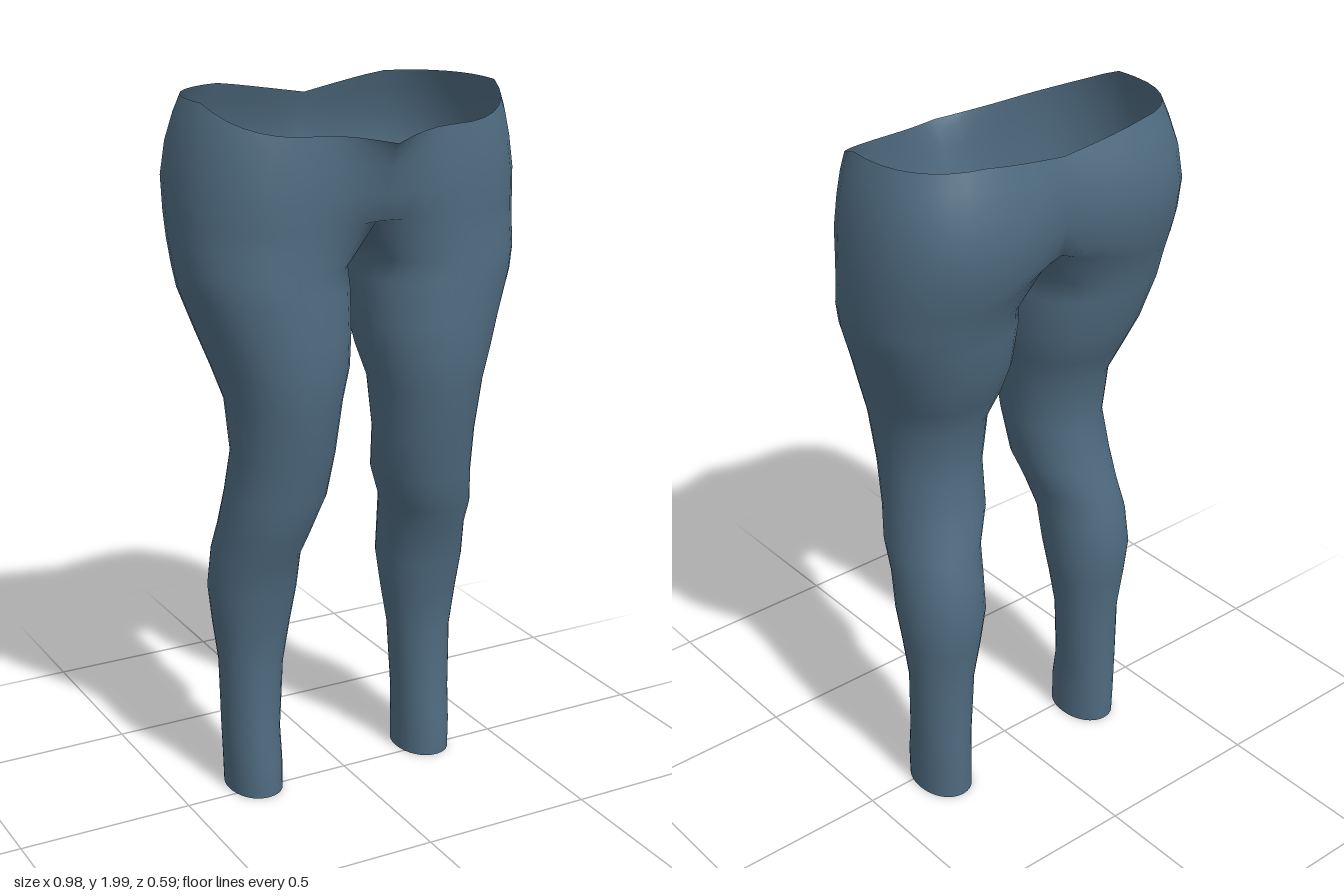
import * as THREE from 'three';
import { mergeVertices } from 'three/addons/utils/BufferGeometryUtils.js';

const N = 32;      // points round one leg
const OUTER = 24;  // steps from the front centre seam, round the hip, to the back seam

// Leg rings: [y, inner x, outer x, front z, back z]
const LEG = [
  [0.01, 0.2, 0.355, 0.065, -0.145], [0.1, 0.2, 0.357, 0.065, -0.147], [0.2, 0.2, 0.36, 0.05, -0.145],
  [0.4, 0.185, 0.365, 0.045, -0.145], [0.52, 0.165, 0.38, 0.062, -0.162], [0.63, 0.148, 0.392, 0.085, -0.175],
  [0.74, 0.145, 0.386, 0.11, -0.163], [0.82, 0.132, 0.378, 0.155, -0.14], [0.92, 0.092, 0.368, 0.175, -0.118],
  [1.05, 0.08, 0.36, 0.205, -0.09], [1.2, 0.064, 0.375, 0.232, -0.108], [1.29, 0.042, 0.4, 0.24, -0.15],
  [1.38, 0.03, 0.43, 0.24, -0.19], [1.5, 0.025, 0.472, 0.237, -0.218], [1.56, 0.03, 0.482, 0.235, -0.228],
];

// Hip rings: [y, lobe centre x, outer x, front z, back z, front seam z, back seam z]
const HIP = [
  [1.63, 0.23, 0.487, 0.234, -0.258, 0.175, -0.19],
  [1.7, 0.23, 0.488, 0.235, -0.28, 0.21, -0.23],
  [1.79, 0.23, 0.488, 0.237, -0.295, 0.235, -0.25],
  [1.88, 0.22, 0.475, 0.235, -0.286, 0.25, -0.252],
  [1.95, 0.21, 0.458, 0.232, -0.262, 0.272, -0.242],
  [2.0, 0.2, 0.44, 0.23, -0.245, 0.292, -0.23],
];

// Slightly squared ellipse
const bulge = (v, n) => Math.sign(v) * Math.pow(Math.abs(v), 2 / n);
const angle = (i) => THREE.MathUtils.degToRad(135 - (i * 360) / N);

function legRing([y, xi, xo, zf, zb]) {
  const n = y > 1.2 ? 2.25 : 2.1;
  return Array.from({ length: N }, (_, i) => {
    const a = angle(i);
    return [
      (xi + xo) / 2 + ((xo - xi) / 2) * bulge(Math.cos(a), n), y,
      (zf + zb) / 2 + ((zf - zb) / 2) * bulge(Math.sin(a), n),
    ];
  });
}

function hipRing([y, cx, xo, zf, zb, seamF, seamB], k) {
  const ring = [];
  for (let i = 0; i <= OUTER; i++) {
    const a = angle(i), s = Math.min(i, OUTER - i) / 4; // s: 0 at a seam, 1 at the lobe
    const front = i < OUTER / 2;
    let x, z;
    if (s < 1) {
      const seam = front ? seamF : seamB, lobe = front ? zf : zb;
      x = cx * s;
      z = seam + (lobe - seam) * Math.sin((s * Math.PI) / 2);
    } else {
      x = cx + (xo - cx) * bulge(Math.cos(a), 2.25);
      z = (zf + zb) / 2 + ((zf - zb) / 2) * bulge(Math.sin(a), 2.25);
    }
    // Waistline dips at the front and a little at the back seam
    const t = Math.max(0, (z - 0.06) / 0.23);
    const dip = front ? 0.1 * Math.pow(t, 0.9) : 0.04 * (1 - Math.min(1, x / 0.25));
    const lift = k === 0 ? 0.045 * Math.max(0, 1 - s) : 0;
    ring.push([x, y + lift - dip * (k / (HIP.length - 1)), z]);
  }
  // Lowest hip ring closes between the legs along the crotch seam
  if (k === 0) {
    for (let i = OUTER + 1; i < N; i++) {
      const w = (i - OUTER) / (N - OUTER);
      ring.push([0, 1.6 + 0.075 * Math.pow(Math.abs(2 * w - 1), 2.5), seamB + (seamF - seamB) * w]);
    }
  }
  return ring;
}

function createModel() {
  const cloth = new THREE.MeshStandardMaterial({ color: 0x4f6b80, side: THREE.DoubleSide });
  cloth.name = 'slate blue cloth';

  const rings = [...LEG.map(legRing), ...HIP.map(hipRing)];
  const pos = [], index = [];
  for (const side of [1, -1]) {
    const starts = rings.map((ring) => {
      const start = pos.length / 3;
      for (const [x, y, z] of ring) pos.push(side * x, y, z);
      return start;
    });
    for (let j = 0; j < rings.length - 1; j++) {
      const steps = j < LEG.length ? N : OUTER;
      for (let i = 0; i < steps; i++) {
        const n = steps === N ? (i + 1) % N : i + 1;
        const a = starts[j] + i, b = starts[j] + n, c = starts[j + 1] + n, d = starts[j + 1] + i;
        if (side > 0) index.push(a, b, c, a, c, d);
        else index.push(a, c, b, a, d, c);
      }
    }
  }
  let geometry = new THREE.BufferGeometry();
  geometry.setAttribute('position', new THREE.Float32BufferAttribute(pos, 3));
  geometry.setIndex(index);
  geometry = mergeVertices(geometry, 1e-4); // joins both halves at the centre seam
  geometry.computeVertexNormals();

  const leggings = new THREE.Mesh(geometry, cloth);
  leggings.name = 'leggings';
  const group = new THREE.Group();
  group.name = 'trousers';
  group.add(leggings);
  return group;
}

export { createModel };
